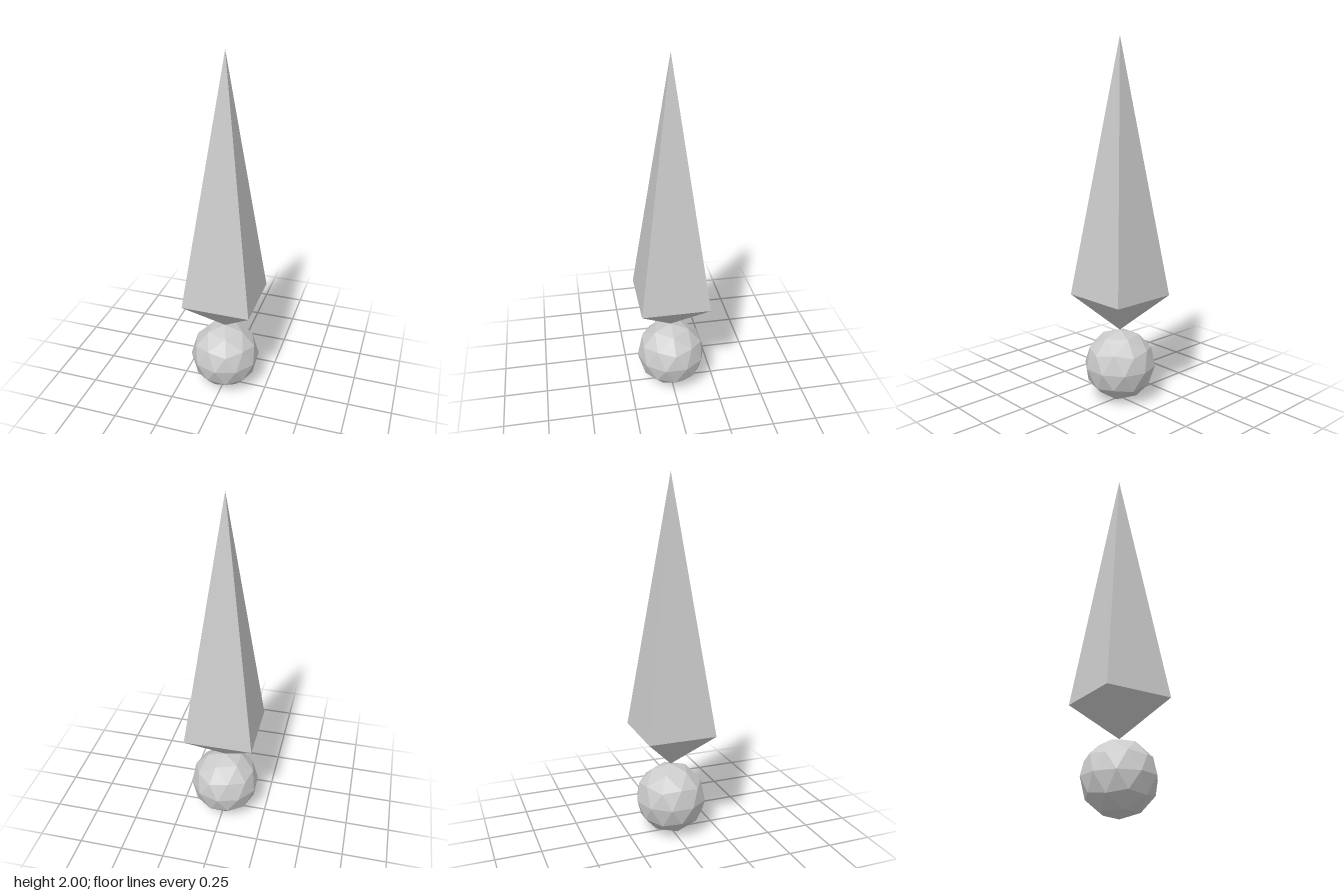
import * as THREE from 'three';

export function createModel() {
  const group = new THREE.Group();
  const material = new THREE.MeshStandardMaterial({ color: 0xcccccc, flatShading: true });

  const add = (name, geometry) => {
    const mesh = new THREE.Mesh(geometry, material);
    mesh.name = name;
    group.add(mesh);
    return mesh;
  };

  // Joint ball: faceted sphere with a vertex turned to each pole
  const ball = new THREE.IcosahedronGeometry(0.2, 1);
  ball.rotateZ(-Math.atan(2 / (1 + Math.sqrt(5))));
  add('jointBall', ball).position.y = 0.2;

  // Spike: four-sided double pyramid, short below and long above
  const halfWidth = 0.193;
  const profile = [[0, 0.4], [halfWidth * Math.SQRT2, 0.603], [0, 2]]
    .map(([r, y]) => new THREE.Vector2(r, y));
  add('spike', new THREE.LatheGeometry(profile, 4, Math.PI / 4));

  return group;
}
